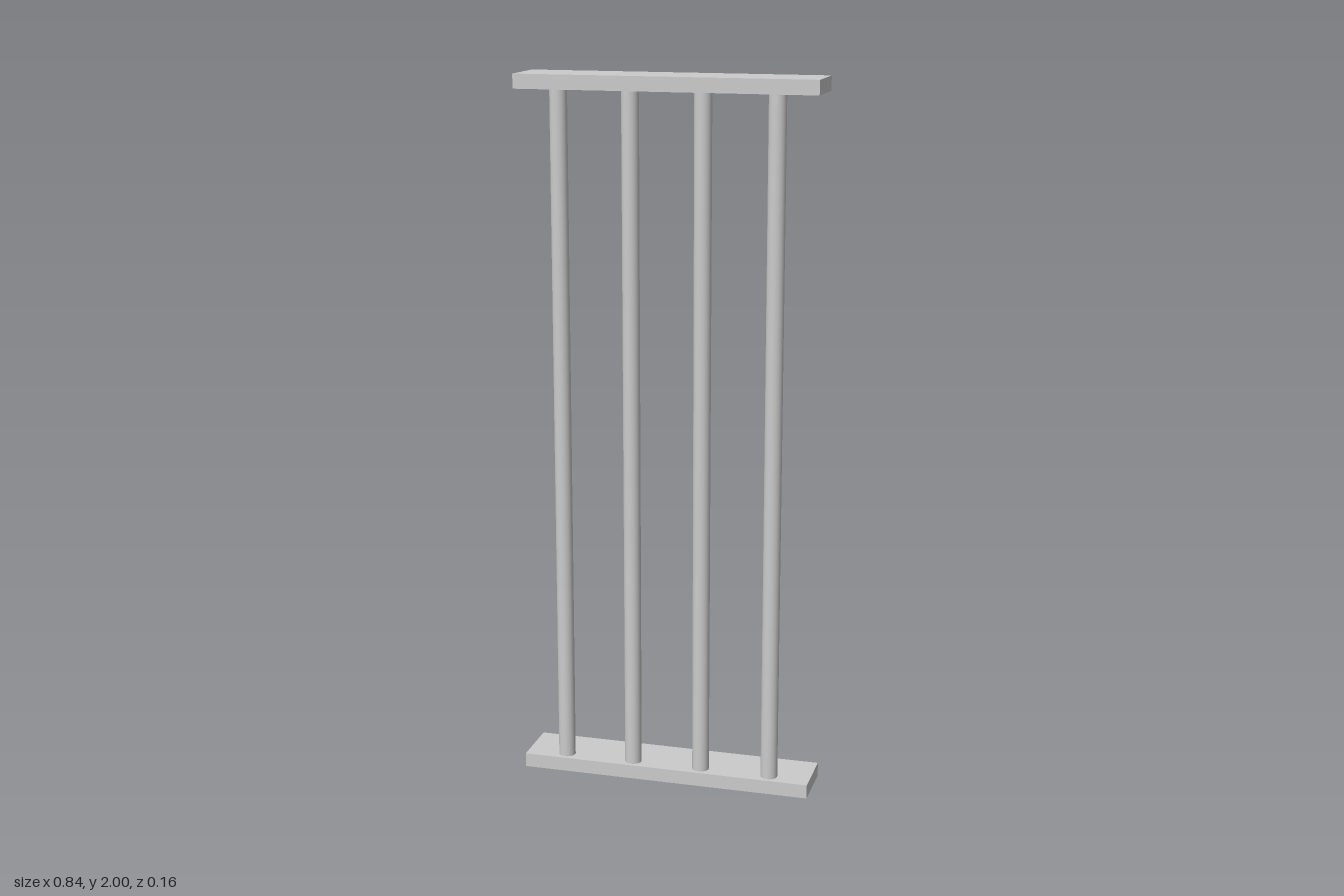
import * as THREE from 'three';

export function createModel() {
  const group = new THREE.Group();
  const material = new THREE.MeshStandardMaterial({ color: 0xcccccc });
  const height = 2, railHeight = 0.04, barRadius = 0.024;

  // Flat rails at the bottom and top
  const railGeometry = new THREE.BoxGeometry(0.837, railHeight, 0.16);
  for (const [name, y] of [['bottomRail', railHeight / 2], ['topRail', height - railHeight / 2]]) {
    const rail = new THREE.Mesh(railGeometry, material);
    rail.name = name;
    rail.position.y = y;
    group.add(rail);
  }

  // Four round bars, set towards the front edge of the rails
  const barGeometry = new THREE.CylinderGeometry(barRadius, barRadius, height - 2 * railHeight, 32);
  for (let i = 0; i < 4; i++) {
    const bar = new THREE.Mesh(barGeometry, material);
    bar.name = `bar${i + 1}`;
    bar.position.set((i - 1.5) * 0.201, height / 2, 0.045);
    group.add(bar);
  }
  return group;
}
